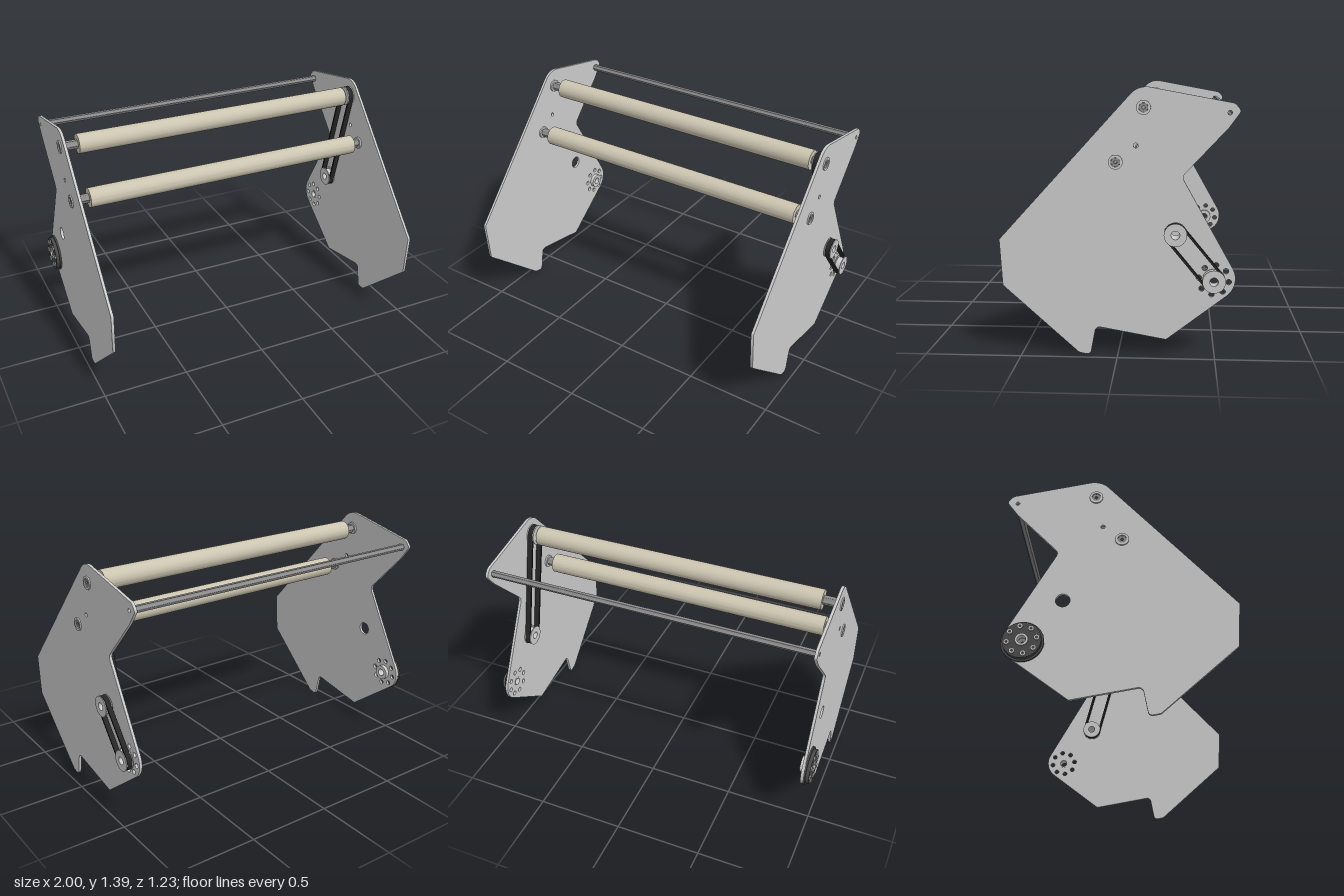
import * as THREE from 'three';
import { toCreasedNormals } from 'three/addons/utils/BufferGeometryUtils.js';

const mat = (color) => new THREE.MeshStandardMaterial({ color });
const GREY = mat(0xcccccc), STEEL = mat(0x8c8c8c), DARK = mat(0x4a4a4a);
const BLACK = mat(0x262626), ROLLER = mat(0xcbc4b0);

// Key axes, given as [z, y]
const UPPER = [-0.13, 1.286], LOWER = [0.011, 1.011], ROD = [-0.561, 1.261];
const IDLER = [-0.295, 0.647], DRIVE = [-0.492, 0.409];
const TAU = Math.PI * 2;

const circle = (Type, [z, y], r) => new Type().absarc(z, y, r, 0, TAU, false);
const around = ([z, y], r, i, n, start = 0) =>
  [z + r * Math.cos(start + (i / n) * TAU), y + r * Math.sin(start + (i / n) * TAU)];

// Extrude a (z, y) shape along x from x0 to x1
function slab(name, shape, x0, x1, material) {
  const g = new THREE.ExtrudeGeometry(shape, { depth: x1 - x0, bevelEnabled: false, curveSegments: 20 });
  g.rotateY(-Math.PI / 2).translate(x1, 0, 0);
  const mesh = new THREE.Mesh(toCreasedNormals(g, 0.6), material);
  mesh.name = name;
  return mesh;
}

function ring(name, c, r, bore, x0, x1, material) {
  const s = circle(THREE.Shape, c, r);
  if (bore) s.holes.push(circle(THREE.Path, c, bore));
  return slab(name, s, x0, x1, material);
}

// Polygon with a fillet radius at each corner: [z, y, r]
function filleted(points) {
  const s = new THREE.Shape();
  const n = points.length;
  points.forEach(([x, y, r], i) => {
    const P = new THREE.Vector2(x, y);
    const a = new THREE.Vector2(...points[(i + n - 1) % n]).sub(P).normalize();
    const b = new THREE.Vector2(...points[(i + 1) % n]).sub(P).normalize();
    const half = Math.acos(a.dot(b)) / 2;
    const from = P.clone().addScaledVector(a, r / Math.tan(half));
    if (i) s.lineTo(from.x, from.y); else s.moveTo(from.x, from.y);
    if (!r) return;
    const to = P.clone().addScaledVector(b, r / Math.tan(half));
    const c = P.clone().addScaledVector(a.clone().add(b).normalize(), r / Math.sin(half));
    s.absarc(c.x, c.y, r, Math.atan2(from.y - c.y, from.x - c.x),
      Math.atan2(to.y - c.y, to.x - c.x), a.cross(b) > 0);
  });
  s.closePath();
  return s;
}

// Side plate with its shaft, bolt and sight holes
function sidePlate(name, x0, x1) {
  const s = filleted([
    [-0.105, 1.398, 0.11], [0.613, 0.607, 0.01], [0.598, 0.365, 0.01], [0.202, 0.01, 0.03],
    [0.143, 0, 0.022], [0.114, 0.153, 0.025], [-0.25, 0.088, 0.012], [-0.635, 0.384, 0.112],
    [-0.325, 0.938, 0.035], [-0.558, 1.187, 0.03], [-0.618, 1.27, 0.018], [-0.587, 1.308, 0.04],
  ]);
  const hole = (c, r) => s.holes.push(circle(THREE.Path, c, r));
  hole(UPPER, 0.03);
  hole(LOWER, 0.03);
  hole(ROD, 0.011);
  hole([-0.092, 1.095], 0.012);
  hole(IDLER, 0.038);
  hole(DRIVE, 0.03);
  for (let i = 0; i < 8; i++) hole(around(DRIVE, 0.077, i, 8, 0.14), 0.014);
  return slab(name, s, x0, x1, GREY);
}

// Fluted tube: six lobes around a small bore
function flutedShaft(name, c, r, bore, x0, x1) {
  const s = new THREE.Shape();
  for (let i = 0; i < 48; i++) {
    const p = around(c, r * (0.9 + 0.1 * Math.cos((i / 8) * TAU)), i, 48);
    if (i) s.lineTo(...p); else s.moveTo(...p);
  }
  s.closePath();
  s.holes.push(circle(THREE.Path, c, bore));
  return slab(name, s, x0, x1, STEEL);
}

// Flanged pulley
function pulley(name, c, x0, x1, bore) {
  const g = new THREE.Group();
  g.name = name;
  g.add(ring('pulleyCore', c, 0.047, bore, x0, x1, GREY));
  g.add(ring('innerFlange', c, 0.059, 0.045, x0, x0 + 0.005, GREY));
  g.add(ring('outerFlange', c, 0.059, 0.045, x1 - 0.005, x1, GREY));
  return g;
}

// Belt loop round two equal pulleys
function belt(name, a, b, x0, x1) {
  const dir = Math.atan2(b[1] - a[1], b[0] - a[0]);
  const loop = (Type, r) => {
    const p = new Type();
    p.absarc(b[0], b[1], r, dir - Math.PI / 2, dir + Math.PI / 2, false);
    p.absarc(a[0], a[1], r, dir + Math.PI / 2, dir + Math.PI * 1.5, false);
    p.closePath();
    return p;
  };
  const s = loop(THREE.Shape, 0.057);
  s.holes.push(loop(THREE.Path, 0.046));
  return slab(name, s, x0, x1, BLACK);
}

export function createModel() {
  const model = new THREE.Group();
  model.name = 'rollerIntake';

  model.add(sidePlate('leftPlate', 0.931, 0.947), sidePlate('rightPlate', -0.964, -0.948));

  // Rollers on fluted shafts, with flanged bearings in both plates
  for (const [label, c] of [['upper', UPPER], ['lower', LOWER]]) {
    model.add(ring(label + 'Roller', c, 0.057, 0.024, -0.865, 0.87, ROLLER));
    model.add(flutedShaft(label + 'Shaft', c, 0.027, 0.008, -0.966, 0.949));
    for (const [x0, x1] of [[-0.971, -0.964], [-0.948, -0.938], [0.921, 0.931], [0.947, 0.954]])
      model.add(ring(label + 'Bearing', c, 0.037, 0.024, x0, x1, GREY));
  }

  // Cross rod between the rear corners
  model.add(flutedShaft('crossRod', ROD, 0.02, 0.01, -0.948, 0.931));

  // Two-stage belt drive on the left plate
  model.add(pulley('rollerPulley', UPPER, 0.887, 0.93, 0.024));
  model.add(pulley('innerIdlerPulley', IDLER, 0.887, 0.93, 0.022));
  model.add(belt('longBelt', UPPER, IDLER, 0.892, 0.925));
  model.add(ring('idlerSleeve', IDLER, 0.036, 0.022, 0.925, 0.96, GREY));
  model.add(pulley('outerIdlerPulley', IDLER, 0.954, 0.996, 0.022));
  model.add(pulley('drivePulley', DRIVE, 0.954, 0.996, 0.022));
  model.add(belt('shortBelt', IDLER, DRIVE, 0.96, 0.988));
  model.add(ring('driveSleeve', DRIVE, 0.03, 0.022, 0.929, 0.96, GREY));

  // Bolted hub on the right plate
  const hub = new THREE.Group();
  hub.name = 'driveHub';
  hub.add(ring('hubFlange', DRIVE, 0.111, 0.022, -0.974, -0.964, DARK));
  hub.add(ring('hubDisc', DRIVE, 0.1, 0.034, -0.994, -0.974, DARK));
  hub.add(ring('hubCentre', DRIVE, 0.034, 0.022, -1, -0.974, GREY));
  hub.add(ring('hubBoss', DRIVE, 0.045, 0.022, -0.948, -0.925, GREY));
  hub.add(ring('hubSleeve', DRIVE, 0.03, 0.022, -0.966, -0.946, GREY));
  for (let i = 0; i < 8; i++)
    hub.add(ring('hubBolt', around(DRIVE, 0.077, i, 8, 0.14), 0.015, 0.006, -1, -0.994, GREY));
  model.add(hub);

  return model;
}
